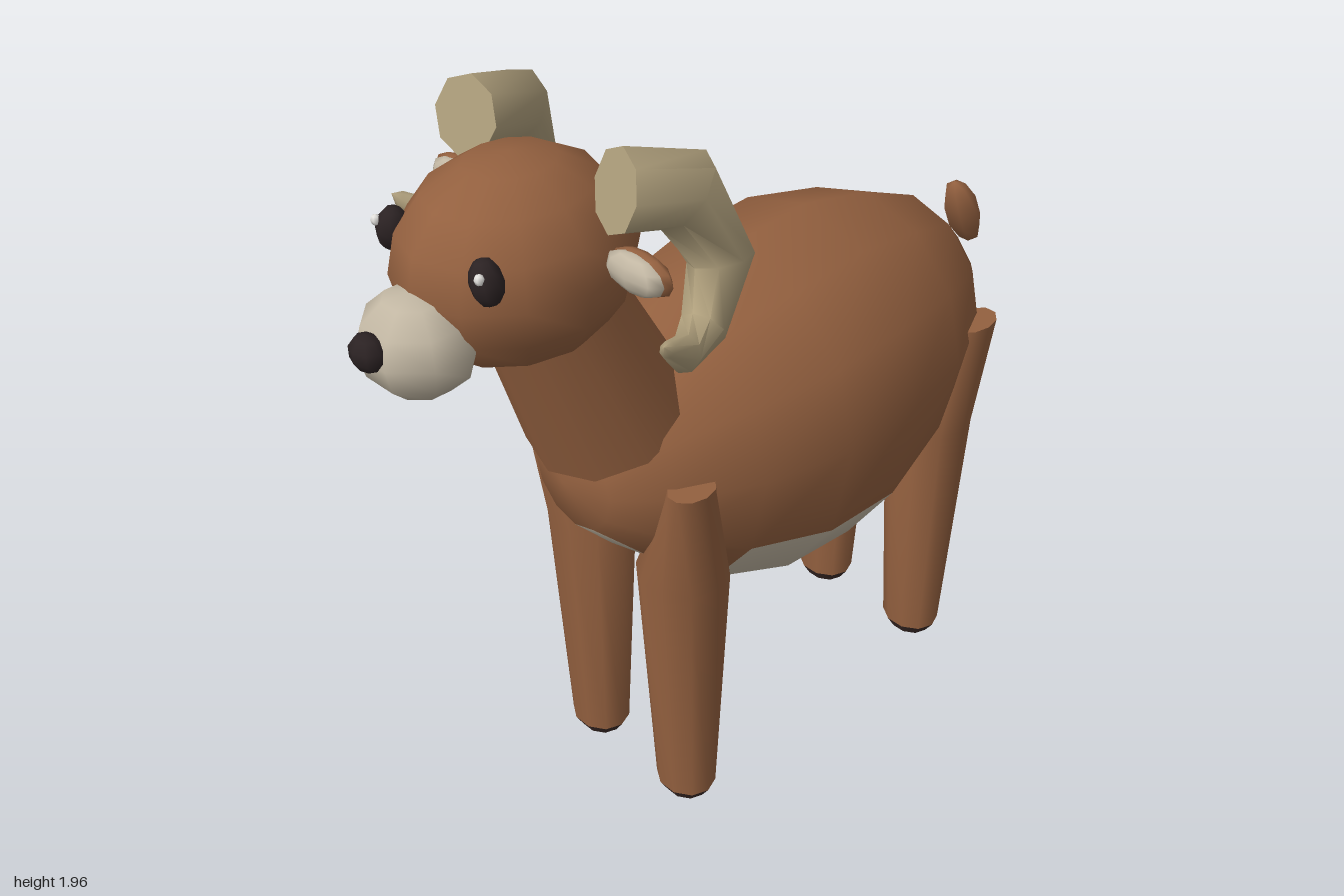
import * as THREE from 'three';
import { toCreasedNormals } from 'three/addons/utils/BufferGeometryUtils.js';

const V = (x, y, z) => new THREE.Vector3(x, y, z);
const mat = (name, color) => new THREE.MeshStandardMaterial({ name, color });

// Skin a row of closed rings and cap both ends; paint(row, column) picks a material slot.
function loft(rings, startTip, endTip, crease, paint = () => 0) {
  const n = rings[0].length, pos = [], lists = [[], []];
  [...rings.flat(), startTip, endTip].forEach((p) => pos.push(p.x, p.y, p.z));
  const last = rings.length - 1, s = rings.length * n, e = s + 1;
  for (let j = 0; j < n; j++) {
    const k = (j + 1) % n;
    lists[paint(-1, j)].push(s, j, k);
    for (let i = 0; i < last; i++) {
      const a = i * n + j, b = i * n + k, c = a + n, d = b + n;
      lists[paint(i, j)].push(a, c, d, a, d, b);
    }
    lists[paint(last, j)].push(e, last * n + k, last * n + j);
  }
  const g = new THREE.BufferGeometry();
  g.setAttribute('position', new THREE.Float32BufferAttribute(pos, 3));
  g.setIndex([...lists[0], ...lists[1]]);
  g.addGroup(0, lists[0].length, 0);
  if (lists[1].length) g.addGroup(lists[0].length, lists[1].length, 1);
  return toCreasedNormals(g, crease);
}

export function createModel() {
  const model = new THREE.Group();
  model.name = 'wildSheep';
  const brown = mat('brown coat', 0x93603f);
  const cream = mat('cream fur', 0xc2b7a3);
  const hornTan = mat('horn tan', 0xaf9f7c);
  const dark = mat('dark hoof', 0x3d2c29);
  const black = mat('black', 0x2b2223);
  const white = mat('eye glint', 0xf2f0ec);

  const add = (name, geometry, material) => {
    const m = new THREE.Mesh(geometry, material);
    m.name = name;
    model.add(m);
    return m;
  };
  const ball = (name, material, p, r, w = 10, h = 8) => {
    const m = add(name, new THREE.SphereGeometry(1, w, h), material);
    m.position.set(...p);
    m.scale.set(...r);
    return m;
  };

  // Body: z, top, bottom, half width; widest at y = 1.03
  const mid = 1.03;
  const sections = [
    [0.47, 1.16, 0.89, 0.13], [0.36, 1.3, 0.77, 0.24], [0.17, 1.395, 0.59, 0.335],
    [-0.065, 1.435, 0.49, 0.39], [-0.3, 1.45, 0.465, 0.385], [-0.53, 1.395, 0.6, 0.335],
    [-0.72, 1.315, 0.77, 0.245], [-0.84, 1.19, 0.9, 0.135],
  ];
  const bodyRings = sections.map(([z, top, bottom, w]) =>
    Array.from({ length: 12 }, (_, j) => {
      const a = (j * Math.PI) / 6, c = -Math.cos(a);
      return V(w * Math.sin(a), mid + c * (c > 0 ? top - mid : mid - bottom), z);
    }));
  // Cream belly and rump: columns up from the keel, per row
  const creamReach = [0, 1, 1, 2, 2, 2, 1, 2, 6];
  add('body', loft(bodyRings, V(0, mid, 0.5), V(0, 1.05, -0.875), 1.4,
    (i, j) => (Math.min(j, 11 - j) < creamReach[i + 1] ? 1 : 0)), [brown, cream]);

  // Neck
  const low = V(0, 1.165, 0.35), high = V(0, 1.53, 0.51);
  const axis = high.clone().sub(low);
  const neck = add('neck', new THREE.CylinderGeometry(0.165, 0.206, axis.length(), 10), brown);
  neck.position.copy(low).add(high).multiplyScalar(0.5);
  neck.quaternion.setFromUnitVectors(V(0, 1, 0), axis.normalize());

  // Head, muzzle and nose
  ball('head', brown, [0, 1.67, 0.582], [0.235, 0.235, 0.278], 12, 8);
  const muzzle = ball('muzzle', cream, [0, 1.573, 0.845], [0.132, 0.12, 0.127], 8, 6);
  muzzle.rotation.y = Math.PI / 8;
  ball('nose', black, [0, 1.6, 0.965], [0.045, 0.042, 0.036], 8, 5);

  // Tail
  const tail = ball('tail', brown, [0, 1.185, -0.94], [0.053, 0.115, 0.045], 6, 5);
  tail.rotation.x = 0.42;

  // Leg sections: y, centre x, centre z, radius x, radius z
  const frontSections = [
    [0.035, 0.168, 0.28, 0.083, 0.072], [0.74, 0.167, 0.28, 0.12, 0.11], [1.06, 0.255, 0.332, 0.05, 0.064],
  ];
  const backSections = [
    [0.035, 0.168, -0.633, 0.083, 0.072], [0.74, 0.167, -0.64, 0.12, 0.108], [1.06, 0.255, -0.685, 0.05, 0.075],
  ];
  const legRing = (side) => ([y, x, z, rx, rz]) =>
    Array.from({ length: 10 }, (_, j) => {
      const a = (j * Math.PI) / 5;
      return V(side * x + rx * Math.cos(a), y, z + rz * Math.sin(a));
    });

  // Horn stations: centre and radius
  const hornPath = [
    [0.235, 1.875, 0.51, 0.092], [0.27, 1.835, 0.36, 0.092], [0.31, 1.67, 0.295, 0.075],
    [0.34, 1.55, 0.375, 0.055], [0.385, 1.55, 0.475, 0.042], [0.435, 1.625, 0.565, 0.018],
  ];

  for (const side of [1, -1]) {
    const label = side > 0 ? 'left' : 'right';

    // Legs and hooves
    for (const [end, secs] of [['Front', frontSections], ['Back', backSections]]) {
      const rings = secs.map(legRing(side));
      const [, x, z, rx, rz] = secs[0];
      const tip = secs[2];
      add(`${label}${end}Leg`, loft(rings, V(side * x, 0.035, z), V(side * tip[1], tip[0], tip[2]), 1), brown);
      const hoof = [[0, x, z, rx * 0.72, rz * 0.72], [0.035, x, z, rx, rz]].map(legRing(side));
      add(`${label}${end}Hoof`, loft(hoof, V(side * x, 0, z), V(side * x, 0.035, z), 0.7), dark);
    }

    // Curled horn
    const pts = hornPath.map(([x, y, z]) => V(side * x, y, z));
    const hornRings = pts.map((p, i) => {
      const t = pts[Math.min(i + 1, pts.length - 1)].clone().sub(pts[Math.max(i - 1, 0)]).normalize();
      const n = t.clone().cross(V(1, 0, 0)).normalize();
      const b = n.clone().cross(t);
      return Array.from({ length: 8 }, (_, j) => {
        const a = (j * Math.PI) / 4, r = hornPath[i][3];
        return p.clone().addScaledVector(n, r * Math.cos(a)).addScaledVector(b, r * 0.9 * Math.sin(a));
      });
    });
    add(`${label}Horn`, loft(hornRings, pts[0], V(side * 0.442, 1.64, 0.58), 1.1), hornTan);

    // Ear with a cream inner side
    ball(`${label}Ear`, brown, [side * 0.29, 1.71, 0.495], [0.09, 0.046, 0.03], 8, 6);
    ball(`${label}InnerEar`, cream, [side * 0.285, 1.71, 0.51], [0.085, 0.044, 0.03], 8, 6);

    // Eye and glint
    const eye = ball(`${label}Eye`, black, [side * 0.152, 1.745, 0.775], [0.036, 0.052, 0.036], 8, 6);
    eye.rotation.z = side * 0.2;
    ball(`${label}EyeGlint`, white, [side * 0.167, 1.768, 0.803], [0.011, 0.013, 0.011], 6, 4);
  }
  return model;
}
